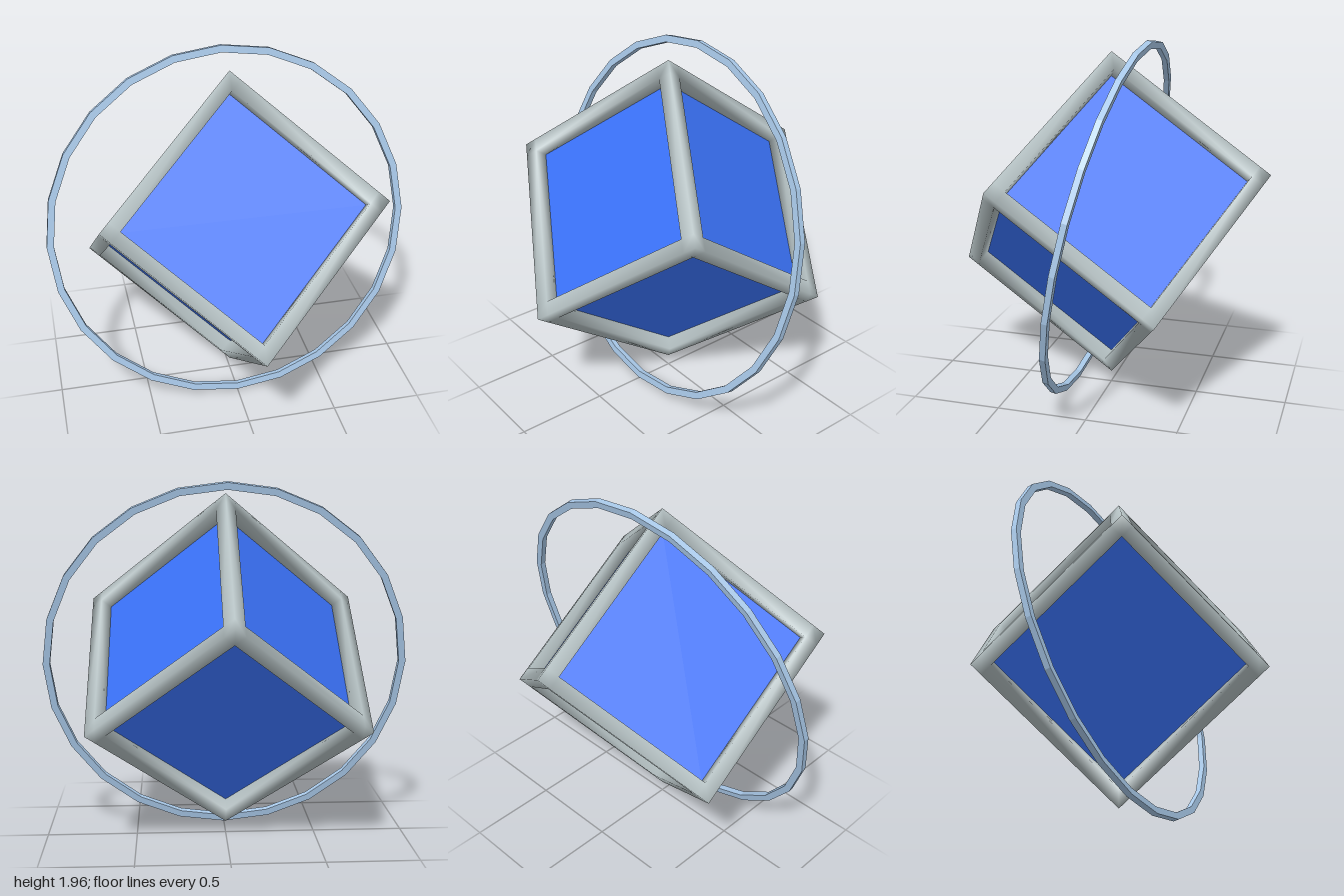
import * as THREE from 'three';

const HALF = 0.53;    // half the cube's side
const INNER = 0.455;  // half the side of the core inside the frame
const CENTRE = 0.982;

// Twelve square bars as the solid cells of a 3x3x3 grid, with shared vertices for soft normals
function frameGeometry() {
  const stops = [-HALF, -INNER, INNER, HALF];
  const positions = [], indices = [], ids = new Map();
  const inside = (c) => c.every((v) => v >= 0 && v <= 2);
  const solid = (c) => inside(c) && c.filter((v) => v === 1).length <= 1;
  const vertex = (p) => {
    const key = p.join();
    if (!ids.has(key)) {
      ids.set(key, positions.length / 3);
      positions.push(...p.map((i) => stops[i]));
    }
    return ids.get(key);
  };
  for (let n = 0; n < 27; n++) {
    const cell = [n % 3, Math.floor(n / 3) % 3, Math.floor(n / 9)];
    if (!solid(cell)) continue;
    for (let axis = 0; axis < 3; axis++) {
      for (const dir of [-1, 1]) {
        const next = [...cell];
        next[axis] += dir;
        if (solid(next)) continue;
        const u = (axis + 1) % 3, v = (axis + 2) % 3;
        const [a, b, c, d] = [[0, 0], [1, 0], [1, 1], [0, 1]].map(([du, dv]) => {
          const p = [...cell];
          p[axis] += dir > 0 ? 1 : 0;
          p[u] += du;
          p[v] += dv;
          return vertex(p);
        });
        if (dir > 0) indices.push(a, b, c, a, c, d);
        else indices.push(a, c, b, a, d, c);
      }
    }
  }
  const geometry = new THREE.BufferGeometry();
  geometry.setAttribute('position', new THREE.Float32BufferAttribute(positions, 3));
  geometry.setIndex(indices);
  geometry.computeVertexNormals();
  return geometry;
}

// Thin 24-sided hoop with a rectangular section
function ringGeometry() {
  const t = 0.016, outer = 1, inner = 0.962;
  const section = [[inner, -t], [outer, -t], [outer, t], [inner, t], [inner, -t]];
  return new THREE.LatheGeometry(section.map(([r, y]) => new THREE.Vector2(r, y)), 24);
}

function addMesh(parent, name, geometry, color, flatShading = false) {
  const mesh = new THREE.Mesh(geometry, new THREE.MeshStandardMaterial({ color, flatShading }));
  mesh.name = name;
  parent.add(mesh);
  return mesh;
}

export function createModel() {
  const model = new THREE.Group();
  model.name = 'ringedCube';

  // Cube balanced on one corner, one upper edge running straight back
  const cube = new THREE.Group();
  cube.name = 'cube';
  const h = Math.sqrt(1 / 3), r = Math.sqrt(2 / 3), s = Math.sqrt(1 / 2);
  cube.quaternion.setFromRotationMatrix(new THREE.Matrix4().makeBasis(
    new THREE.Vector3(0, h, r),
    new THREE.Vector3(s, h, -r / 2),
    new THREE.Vector3(-s, h, -r / 2),
  ));
  cube.position.y = CENTRE;
  model.add(cube);
  addMesh(cube, 'frame', frameGeometry(), 0xb4c0c2);
  addMesh(cube, 'core', new THREE.BoxGeometry(2 * INNER, 2 * INNER, 2 * INNER), 0x3a72f8);

  // Hoop around the cube, leaning back
  const ring = addMesh(model, 'ring', ringGeometry(), 0xa8c8e8, true);
  ring.rotation.x = THREE.MathUtils.degToRad(78);
  ring.position.y = CENTRE;

  return model;
}
